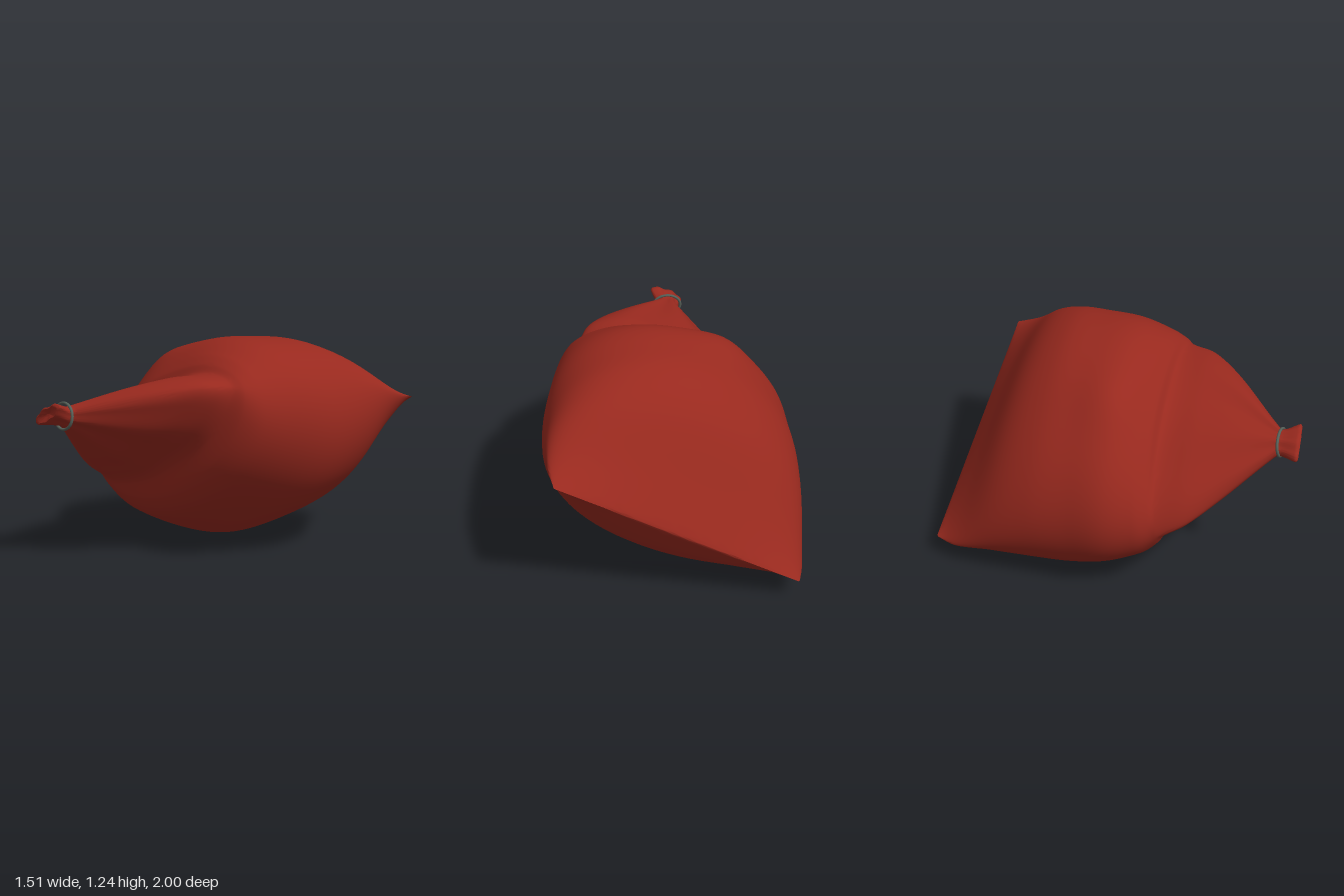
import * as THREE from 'three';
import { toCreasedNormals } from 'three/addons/utils/BufferGeometryUtils.js';

const { smoothstep } = THREE.MathUtils;
const TILT = Math.PI / 6; // roll of the bag's wide axis
const SIDES = 96;
const STEPS = 6; // rings between neighbouring sections

// Sections from back seam to tip: z, centre x, centre y, half width, half thickness
const sections = [
  [-0.93, 0.105, 0.5, 0.735, 0],
  [-0.92, 0.1, 0.5, 0.742, 0.02],
  [-0.8, 0.075, 0.515, 0.775, 0.185],
  [-0.6, 0.035, 0.575, 0.785, 0.42],
  [-0.4, 0, 0.605, 0.775, 0.525],
  [-0.2, -0.03, 0.62, 0.76, 0.555],
  [0, -0.075, 0.655, 0.735, 0.52],
  [0.18, -0.095, 0.68, 0.68, 0.42],
  [0.27, -0.115, 0.71, 0.635, 0.325],
  [0.31, -0.145, 0.735, 0.6, 0.23],
  [0.45, -0.168, 0.775, 0.53, 0.19],
  [0.62, -0.2, 0.815, 0.37, 0.145],
  [0.87, -0.285, 0.875, 0.09, 0.052],
  [0.905, -0.295, 0.88, 0.078, 0.045],
  [0.985, -0.312, 0.9, 0.112, 0.038],
  [0.995, -0.312, 0.9, 0.1, 0.03],
  [0.975, -0.312, 0.9, 0, 0],
];

// Smooth blend between sections, with slopes measured along z
function sectionAt(s) {
  const last = sections.length - 1;
  const i = Math.min(Math.floor(s), last - 1);
  const f = s - i, f2 = f * f, f3 = f2 * f;
  const [p0, p1, p2, p3] = [-1, 0, 1, 2].map((k) => sections[Math.min(Math.max(i + k, 0), last)]);
  const span = p2[0] - p1[0];
  const before = p2[0] - p0[0], after = p3[0] - p1[0];
  return p1.map((v, k) => {
    const m1 = before > 0 ? ((p2[k] - p0[k]) * span) / before : p2[k] - v;
    const m2 = after > 0 ? ((p3[k] - v) * span) / after : p2[k] - v;
    return (2 * f3 - 3 * f2 + 1) * v + (f3 - 2 * f2 + f) * m1 + (3 * f2 - 2 * f3) * p2[k] + (f3 - f2) * m2;
  });
}

const bump = (x, centre, width) => Math.exp(-(((x - centre) / width) ** 2));

function loftSack() {
  const pos = [], index = [];
  const rings = (sections.length - 1) * STEPS;
  const c = Math.cos(TILT), s = Math.sin(TILT);
  for (let i = 0; i <= rings; i++) {
    const [z, cx, cy, a, b] = sectionAt(i / STEPS);
    // Pointed lens near the seam and at the root of the neck, ellipse between
    const sharp = 0.25 * (1 - smoothstep(z, -0.85, -0.35))
      + 0.2 * smoothstep(z, 0.2, 0.32) * (1 - smoothstep(z, 0.45, 0.87));
    const seamSkew = 0.07 * (1 - smoothstep(z, -0.85, -0.2));
    const shoulderSkew = -0.055 * bump(z, 0.27, 0.14);
    const pleat = 0.11 * smoothstep(z, 0.1, 0.98);
    const sag = 0.09 * bump(z, -0.2, 0.4); // flattened underside
    const hump = 0.06 * bump(z, 0, 0.2); // small ridge on top
    for (let j = 0; j < SIDES; j++) {
      const t = (j / SIDES) * Math.PI * 2;
      const ct = Math.cos(t), st = Math.sin(t);
      const fold = 1 + pleat * (Math.cos(7 * t + 0.6) + 0.5 * Math.sin(4 * t))
        - sag * bump(t, Math.PI * 1.5, 0.5) + hump * bump(t, 1.65, 0.25);
      const u = a * ct;
      const v = b * st * Math.abs(st) ** sharp * fold;
      pos.push(cx + u * c - v * s, cy + u * s + v * c, z + seamSkew * ct + shoulderSkew * st);
    }
  }
  for (let i = 0; i < rings; i++) {
    for (let j = 0; j < SIDES; j++) {
      const p = i * SIDES + j, q = i * SIDES + ((j + 1) % SIDES);
      index.push(p, q, p + SIDES, q, q + SIDES, p + SIDES);
    }
  }
  const g = new THREE.BufferGeometry();
  g.setAttribute('position', new THREE.Float32BufferAttribute(pos, 3));
  g.setIndex(index);
  return toCreasedNormals(g, 1.1);
}

export function createModel() {
  const red = new THREE.MeshStandardMaterial({ color: 0x98291e, side: THREE.DoubleSide });
  red.name = 'red cloth';
  const grey = new THREE.MeshStandardMaterial({ color: 0x566058 });
  grey.name = 'grey green cord';

  const model = new THREE.Group();
  model.name = 'tiedSack';

  // Pillow body with back seam, shoulder fold, pleated neck and flared tip
  const sack = new THREE.Mesh(loftSack(), red);
  sack.name = 'sack';
  model.add(sack);

  // Cord tied around the neck
  const tie = new THREE.Mesh(new THREE.TorusGeometry(0.077, 0.008, 10, 48), grey);
  tie.name = 'neckTie';
  tie.position.set(-0.293, 0.88, 0.895);
  tie.rotation.set(-0.15, -0.15, 0);
  tie.scale.set(1.08, 0.92, 1);
  model.add(tie);

  return model;
}
